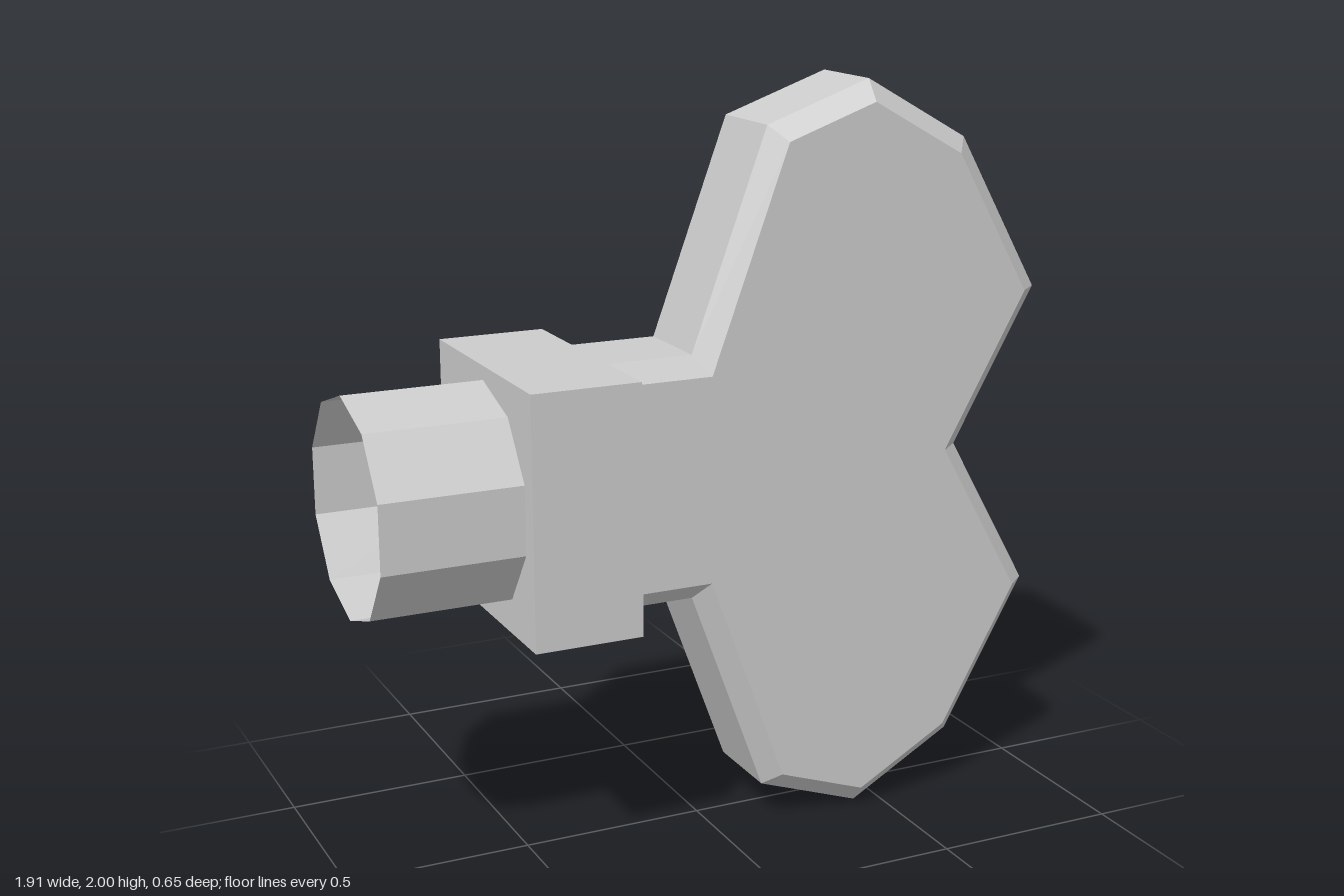
import * as THREE from 'three';

const MID = 1; // height of the screw axis

export function createModel() {
  const group = new THREE.Group();
  const solid = new THREE.MeshStandardMaterial({ color: 0xcccccc, flatShading: true });
  const open = solid.clone();
  open.side = THREE.DoubleSide;

  const add = (name, geometry, material, x, y, z) => {
    const mesh = new THREE.Mesh(geometry, material);
    mesh.name = name;
    mesh.position.set(x, y, z);
    group.add(mesh);
  };

  // Two-lobed thumb grip: upper half outline, mirrored below the axis.
  // Its root runs a little way into the collar.
  const upper = [
    [-0.38, 0.327], [-0.07, 0.327], [0.14, 0.897], [0.43, 1.0],
    [0.72, 0.836], [0.955, 0.418],
  ];
  const lower = upper.map(([x, y]) => [x, -y]);
  const outline = [...lower, [0.72, 0], ...upper.reverse()];
  const grip = new THREE.ExtrudeGeometry(
    new THREE.Shape(outline.map(([x, y]) => new THREE.Vector2(x, y))),
    {
      depth: 0.236, bevelEnabled: true, bevelSegments: 1,
      bevelThickness: 0.05, bevelSize: 0.05, bevelOffset: -0.05,
    },
  );
  add('thumbGrip', grip, solid, 0, MID, -0.118);

  // Square collar between grip and stem
  add('collar', new THREE.BoxGeometry(0.288, 0.654, 0.654), solid, -0.446, MID, 0);

  // Ten-sided stem, open at its outer end
  const stem = new THREE.CylinderGeometry(0.29, 0.29, 0.37, 10, 1, true, Math.PI / 2);
  stem.rotateZ(Math.PI / 2);
  add('stem', stem, open, -0.773, MID, 0);

  return group;
}
